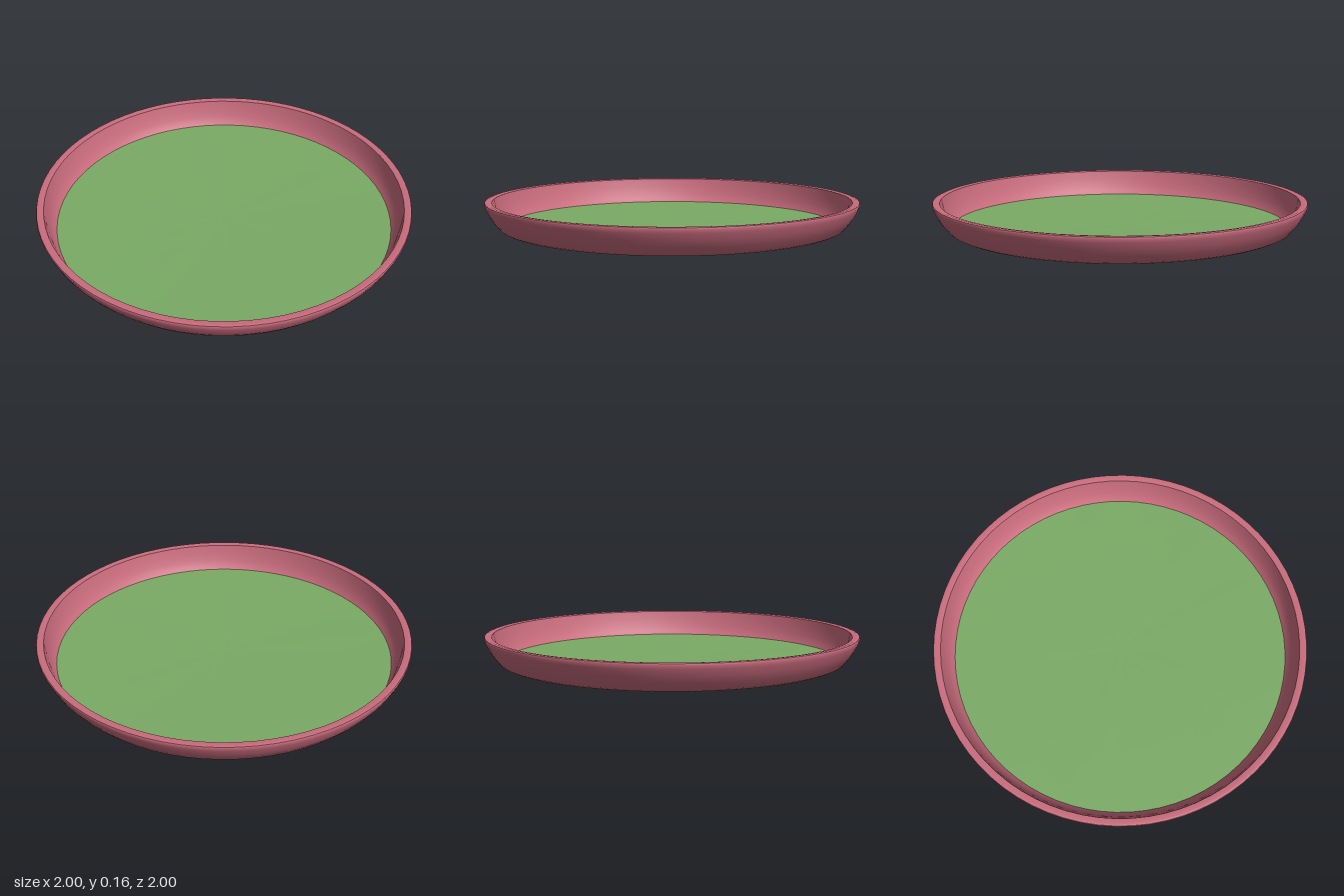
import * as THREE from 'three';

const SEGMENTS = 72;

// Spins a list of [radius, height] pairs around the y axis
function spin(name, profile, material) {
  const points = profile.map(([r, y]) => new THREE.Vector2(r, y));
  const mesh = new THREE.Mesh(new THREE.LatheGeometry(points, SEGMENTS), material);
  mesh.name = name;
  return mesh;
}

// Faint radial ripple, flat at the centre and at the edge
function floorHeight(r, angle) {
  const ripple = Math.sin(angle * 9) * 0.6 + Math.sin(angle * 14 + 1) * 0.4;
  const t = r / 0.91;
  return 0.004 + 0.012 * t + 0.0025 * ripple * t * (1 - t);
}

function createModel() {
  const pink = new THREE.MeshStandardMaterial({ color: 0xc96c7d });
  pink.name = 'rosePink';
  const green = new THREE.MeshStandardMaterial({ color: 0x7aab65, side: THREE.DoubleSide });
  green.name = 'leafGreen';

  const plate = new THREE.Group();
  plate.name = 'plate';

  // Curved rim, split where its edges are sharp
  plate.add(
    spin('outerWall', [[0.905, 0.014], [0.925, 0.024], [0.955, 0.06], [0.978, 0.095], [0.994, 0.13], [1, 0.148], [0.997, 0.157]], pink),
    spin('rimTop', [[0.997, 0.157], [0.985, 0.16], [0.96, 0.156]], pink),
    spin('innerWall', [[0.96, 0.156], [0.95, 0.11], [0.935, 0.065], [0.92, 0.035], [0.905, 0.0165]], pink),
  );

  // Thin, slightly dished floor seen from both sides
  const geometry = new THREE.RingGeometry(0.0001, 0.91, SEGMENTS, 8);
  geometry.rotateX(-Math.PI / 2);
  const pos = geometry.attributes.position;
  for (let i = 0; i < pos.count; i++) {
    const x = pos.getX(i), z = pos.getZ(i);
    pos.setY(i, floorHeight(Math.hypot(x, z), Math.atan2(z, x)));
  }
  geometry.computeVertexNormals();
  const floor = new THREE.Mesh(geometry, green);
  floor.name = 'floor';
  plate.add(floor);

  return plate;
}

export { createModel };
